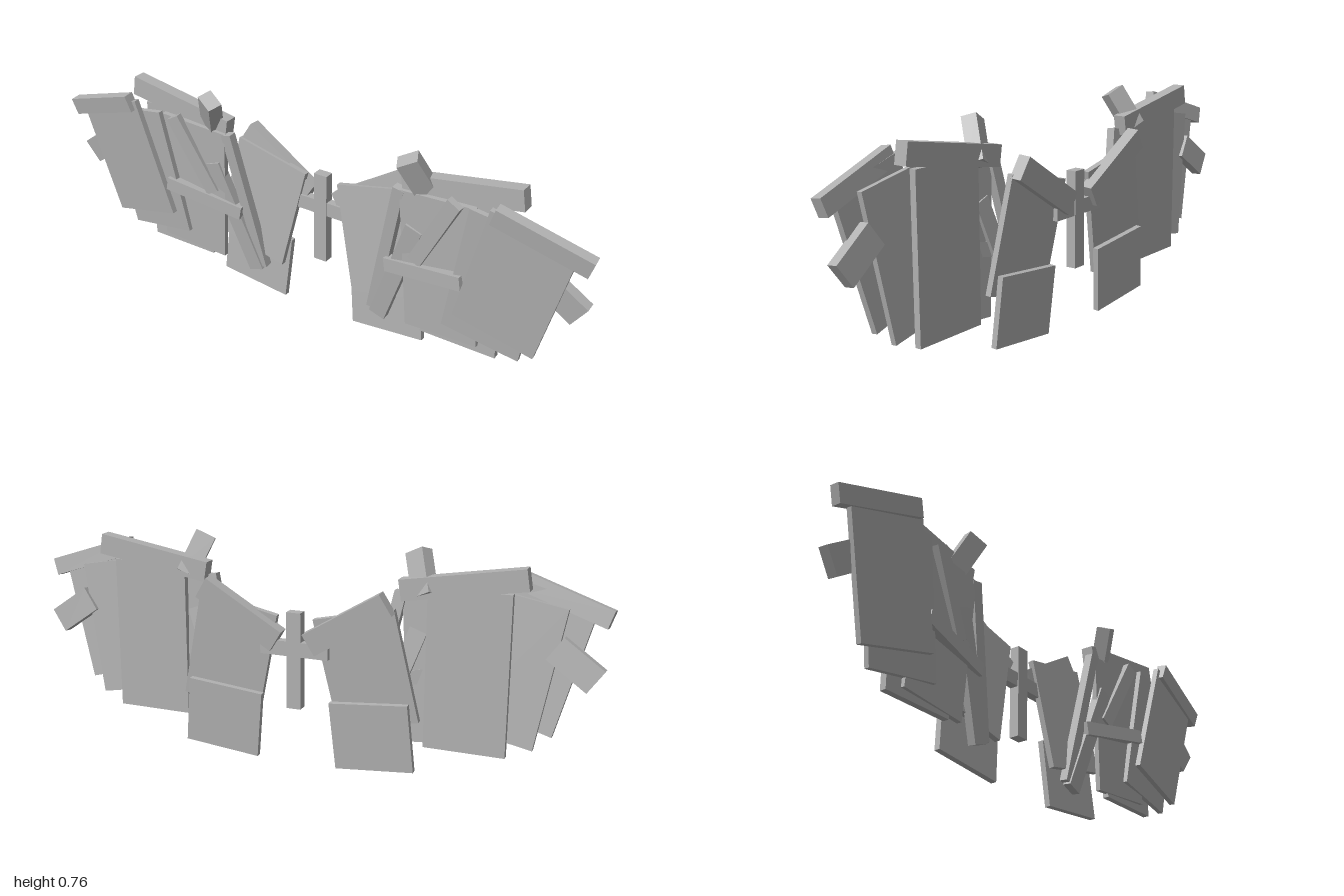
import * as THREE from 'three';

const grey = new THREE.MeshStandardMaterial({ color: 0xb0b0b0 });
grey.name = 'grey';

// Box with centre, size and rotation in degrees
function slab(name, [x, y, z], [w, h, d], [rx, ry, rz] = [0, 0, 0]) {
  const mesh = new THREE.Mesh(new THREE.BoxGeometry(w, h, d), grey);
  mesh.name = name;
  mesh.position.set(x, y, z);
  const r = THREE.MathUtils.degToRad;
  mesh.rotation.set(r(rx), r(ry), r(rz));
  return mesh;
}

// Parts of the left wing: name, centre, size, rotation
const wingParts = [
  // Inner section
  ['innerBone', [0.19, 0.512, -0.081], [0.31, 0.08, 0.042], [-4, 0, 31.5]],
  ['innerFeather', [0.243, 0.355, -0.048], [0.283, 0.384, 0.02], [-4, 0, 12.5]],
  ['innerLowerFeather', [0.267, 0.13, -0.055], [0.271, 0.232, 0.02], [-3, 0, 5.5]],
  // Middle section
  ['middleBone', [0.545, 0.659, -0.007], [0.41, 0.07, 0.045], [0, 0, 9.5]],
  ['middleRearFeather', [0.565, 0.372, -0.003], [0.27, 0.535, 0.022]],
  ['middleFrontFeather', [0.49, 0.372, 0.015], [0.265, 0.5, 0.018], [2, -2, 4]],
  // Loose struts over the middle feathers
  ['topPeg', [0.4, 0.675, 0.02], [0.07, 0.15, 0.05], [18, 25, 19]],
  ['upperStrut', [0.475, 0.505, 0.033], [0.05, 0.3, 0.024], [3, -6, -28]],
  ['crossStrut', [0.44, 0.344, 0.024], [0.3, 0.048, 0.035], [0, -8, 10]],
  ['lowerStrut', [0.325, 0.29, -0.005], [0.06, 0.43, 0.03], [6, 0, -20]],
  ['innerStrut', [0.283, 0.36, -0.008], [0.04, 0.52, 0.03], [5, 0, -12]],
  // Outer section
  ['outerBone', [0.842, 0.622, 0.076], [0.315, 0.06, 0.036], [8, 4, -18.5]],
  ['outerFrontFeather', [0.757, 0.43, 0.058], [0.283, 0.44, 0.02], [5, 3, -15]],
  ['outerRearFeather', [0.69, 0.39, 0.033], [0.27, 0.47, 0.018], [4, 2, -10]],
  ['outerClaw', [0.897, 0.43, 0.026], [0.16, 0.09, 0.036], [6, 0, -35]],
];

function wing(name, side) {
  const group = new THREE.Group();
  group.name = name;
  for (const [part, [x, y, z], size, [rx, ry, rz] = [0, 0, 0]] of wingParts) {
    group.add(slab(part, [side * x, y, z], size, [rx, side * ry, side * rz]));
  }
  return group;
}

export function createModel() {
  const model = new THREE.Group();
  model.name = 'wings';
  // Central cross that joins the wings
  model.add(slab('centrePost', [0, 0.365, -0.062], [0.05, 0.33, 0.035]));
  model.add(slab('centreCrossbar', [0, 0.405, -0.062], [0.24, 0.05, 0.03]));
  model.add(wing('leftWing', 1), wing('rightWing', -1));
  return model;
}
